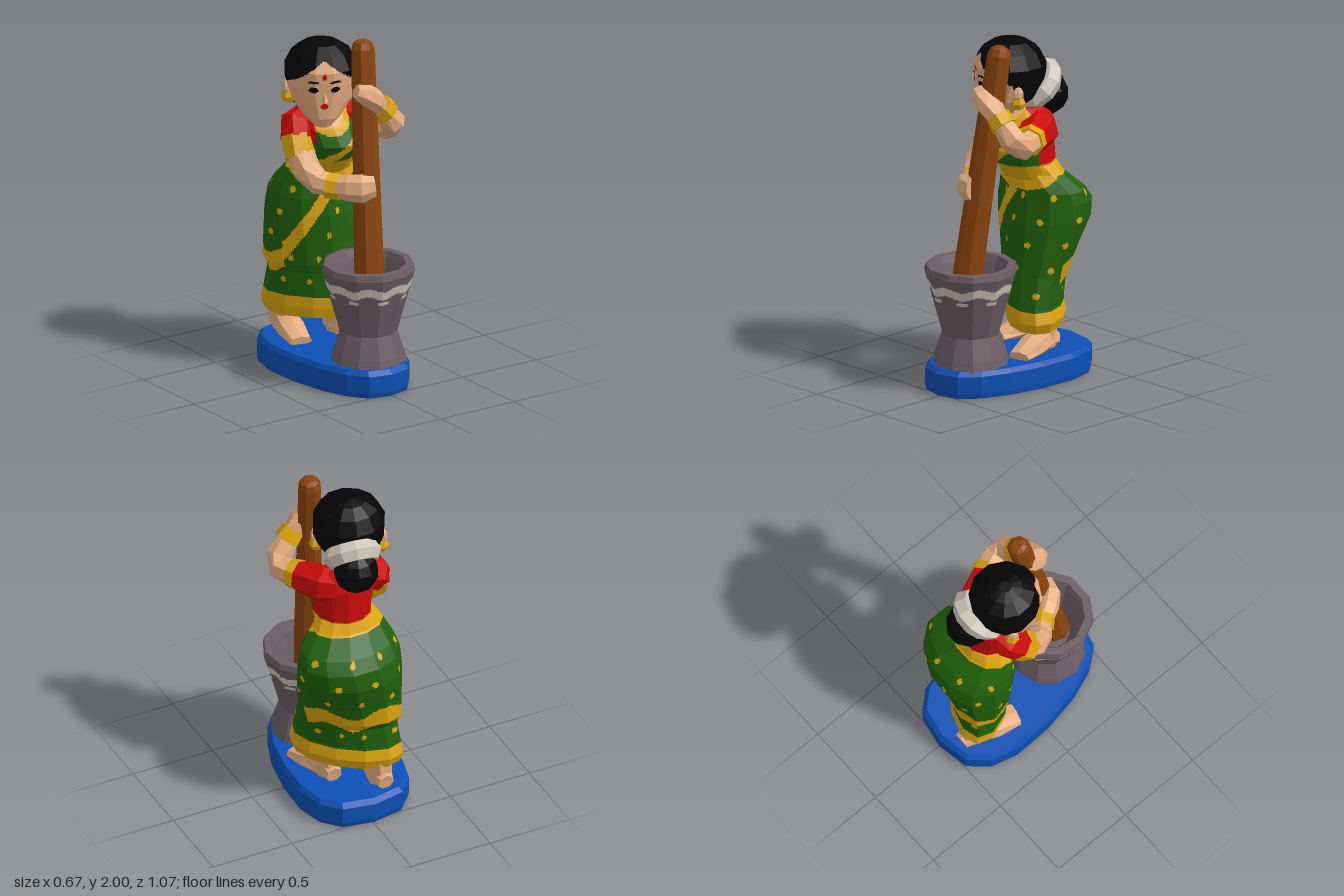
import * as THREE from 'three';

const COLORS = {
  blue: 0x0c50b4, green: 0x20600b, gold: 0xdca50e, red: 0xcc0a0a, skin: 0xe4ac80,
  black: 0x050505, stone: 0x6c5d64, pale: 0xcfc5b8, wood: 0x8a430c,
};
const MATS = {};
for (const [name, color] of Object.entries(COLORS)) {
  MATS[name] = new THREE.MeshStandardMaterial({ color });
  MATS[name].name = name;
}
const V = (x, y, z) => new THREE.Vector3(x, y, z);

function flatMesh(name, geo, mat) {
  const g = geo.index ? geo.toNonIndexed() : geo;
  g.computeVertexNormals();
  const m = new THREE.Mesh(g, MATS[mat]);
  m.name = name;
  return m;
}

// Skins a stack of rings and closes both ends. paint is a colour name, or a rule
// from position to colour name; then faces are divided into cells of the given size.
function skin(name, rings, paint, cell = Infinity) {
  const n = rings[0].length, buckets = {};
  const add = (a, b, c) => {
    const mid = V(0, 0, 0).add(a).add(b).add(c).divideScalar(3);
    const key = typeof paint === 'string' ? paint : paint(mid);
    (buckets[key] ??= []).push(...a, ...b, ...c);
  };
  let edge = 0;
  for (const r of rings) r.forEach((p, i) => { edge = Math.max(edge, p.distanceTo(r[(i + 1) % n])); });
  const cols = Math.max(1, Math.ceil(edge / cell));
  const fine = rings.map(r => r.flatMap((p, i) =>
    Array.from({ length: cols }, (_, k) => p.clone().lerp(r[(i + 1) % n], k / cols))));
  const N = n * cols;
  for (let j = 0; j + 1 < fine.length; j++) {
    const lo = fine[j], hi = fine[j + 1];
    const rows = Math.max(1, Math.ceil(Math.max(...lo.map((p, i) => p.distanceTo(hi[i]))) / cell));
    for (let k = 0; k < rows; k++) {
      const at = (i, s) => lo[i % N].clone().lerp(hi[i % N], s / rows);
      for (let i = 0; i < N; i++) {
        const a = at(i, k), b = at(i + 1, k), c = at(i + 1, k + 1), d = at(i, k + 1);
        add(a, b, c);
        add(a, c, d);
      }
    }
  }
  const cap = (r, flip) => {
    const c = r.reduce((s, p) => s.add(p), V(0, 0, 0)).divideScalar(N);
    r.forEach((p, i) => { const q = r[(i + 1) % N]; flip ? add(c, q, p) : add(c, p, q); });
  };
  cap(fine[0], true);
  cap(fine[fine.length - 1], false);
  const geo = new THREE.BufferGeometry(), pos = [], mats = [];
  for (const [key, list] of Object.entries(buckets)) {
    geo.addGroup(pos.length / 3, list.length / 3, mats.length);
    mats.push(MATS[key]);
    for (const v of list) pos.push(v);
  }
  geo.setAttribute('position', new THREE.Float32BufferAttribute(pos, 3));
  geo.computeVertexNormals();
  const mesh = new THREE.Mesh(geo, mats);
  mesh.name = name;
  return mesh;
}

// Horizontal ellipses from rows of [y, centre x, centre z, radius x, radius z, skew];
// skew stretches the ellipse along the +x +z diagonal
const ellipses = (rows, n) => rows.map(([y, cx, cz, rx, rz, skew = 0]) => Array.from({ length: n }, (_, i) => {
  const a = (i + 0.5) / n * Math.PI * 2;
  return V(cx + rx * Math.sin(a + skew / 2), y, cz + rz * Math.cos(a - skew / 2));
}));

// Limb along points [x, y, z, side radius, other radius]
function limb(name, pts, paint, n = 7) {
  const p = pts.map(q => V(q[0], q[1], q[2])), last = p.length - 1;
  const dir = p[last].clone().sub(p[0]).normalize();
  const ref = Math.abs(dir.y) > 0.75 ? V(0, 0, 1) : V(0, 1, 0);
  const rings = p.map((c, j) => {
    const t = p[Math.min(j + 1, last)].clone().sub(p[Math.max(j - 1, 0)]).normalize();
    const u = t.clone().cross(ref).normalize(), v = u.clone().cross(t);
    const [, , , ru, rv = ru] = pts[j];
    return Array.from({ length: n }, (_, i) => {
      const a = i / n * Math.PI * 2;
      return c.clone().addScaledVector(u, ru * Math.sin(a)).addScaledVector(v, rv * Math.cos(a));
    });
  });
  return skin(name, rings, paint);
}

// Sari skirt: hem, slanting drape border, waistband and scattered dots
function skirtPaint(p) {
  if (p.y < 0.43 || p.y > 1.19 - 0.6 * Math.max(0, p.z + 0.2)) return 'gold';
  const a = Math.atan2(p.x, p.z + 0.24);
  let border = 0.645 + 0.035 * Math.sin(a * 4);
  if (a > -1.45 && a < 0.1) border = 0.7 + (a + 1.45) * 0.29;
  if ((a < 0.1 || a > 1.35) && Math.abs(p.y - border) < 0.058) return 'gold';
  const row = Math.round((p.y - 0.52) / 0.14), step = Math.PI / 4;
  const da = a / step + (row % 2) * 0.5 + row * 0.13;
  const dx = (da - Math.round(da)) * step * 0.27, dy = p.y - 0.52 - row * 0.14;
  return Math.hypot(dx, dy) < 0.019 ? 'gold' : 'green';
}

// Blouse with the sari drawn across the chest
function torsoPaint(p) {
  if (p.y < 1.265) return 'gold';
  const neck = Math.hypot(p.x + 0.05, p.y - 1.57);
  if (p.z > -0.12 && neck < 0.1) return 'skin';
  if (p.z < -0.1 || (p.y > 1.38 && Math.abs(p.x + 0.01) > 0.135)) return 'red';
  if (neck < 0.15 || Math.abs(p.y - 1.33 - 0.7 * p.x) < 0.032) return 'gold';
  return 'green';
}

// Head in its own frame, face toward +z
function headPaint(p) {
  const x = Math.abs(p.x), y = p.y;
  const oval = (cx, cy, rx, ry) => Math.hypot((x - cx) / rx, (y - cy) / ry) < 1;
  if (y > 0.18 - 0.75 * x || p.z < 0.03 + 0.35 * y) return y < -0.13 ? 'skin' : 'black';
  if (p.z < 0.05) return 'skin';
  if (oval(0, 0.09, 0.013, 0.016) || oval(0, -0.09, 0.024, 0.016)) return 'red';
  if (oval(0.062, 0.012, 0.028, 0.016) || oval(0.062, 0.06 - 6 * (x - 0.062) ** 2, 0.034, 0.007)) return 'black';
  return 'skin';
}

// Wavy band and short dashes on the outer wall only
function stonePaint(p) {
  const a = Math.atan2(p.x, p.z - 0.28), wave = 0.012 * Math.sin(a * 8);
  if (Math.hypot(p.x, p.z - 0.28) < 0.205) return 'stone';
  if (Math.abs(p.y - 0.612 - wave) < 0.026) return 'pale';
  return Math.abs(p.y - 0.552) < 0.008 && Math.sin(a * 8) < -0.4 ? 'pale' : 'stone';
}

export function createModel() {
  const model = new THREE.Group();
  model.name = 'womanPoundingGrain';

  // Base: rounded slab, narrower toward the front
  const pow = (v, e) => Math.sign(v) * Math.abs(v) ** e;
  model.add(skin('base', [[0, 0.98], [0.03, 1], [0.13, 1], [0.157, 0.95]].map(([y, s]) =>
    Array.from({ length: 16 }, (_, i) => {
      const a = i / 16 * Math.PI * 2, z = 0.535 * pow(Math.cos(a), 0.88);
      return V(-0.01 + s * (0.32 - 0.11 * z) * pow(Math.sin(a), 0.72), y, s * z);
    })), 'blue'));

  // Mortar: outer wall, rim, inner wall and floor
  const bowl = [[0.14, 0.222], [0.2, 0.208], [0.33, 0.165], [0.52, 0.217], [0.695, 0.266],
    [0.73, 0.258], [0.73, 0.215], [0.69, 0.198], [0.46, 0.13]];
  const bowlRings = bowl.map(([y, r]) => [y, 0.003, 0.28, r, r]);
  model.add(skin('mortar', ellipses(bowlRings, 11), stonePaint, 0.011));

  // Pestle
  model.add(limb('pestle', [[-0.017, 0.46, 0.325, 0.085], [0, 0.73, 0.29, 0.085], [0.073, 1.95, 0.127, 0.067],
    [0.075, 1.985, 0.122, 0.054], [0.076, 2, 0.12, 0.03]], 'wood', 8));

  // Skirt, following the stepping legs at the hem, and torso
  model.add(skin('skirt', ellipses([
    [0.3, 0.01, -0.215, 0.255, 0.24, 0.62], [0.36, 0.015, -0.215, 0.275, 0.26, 0.62],
    [0.44, 0.008, -0.21, 0.262, 0.245, 0.6], [0.57, 0.01, -0.215, 0.255, 0.225, 0.5],
    [0.62, 0, -0.235, 0.268, 0.24, 0.42], [0.75, 0.01, -0.25, 0.285, 0.235, 0.28],
    [0.92, 0.025, -0.275, 0.303, 0.245, 0.08], [1.03, 0.028, -0.275, 0.303, 0.228], [1.1, 0.028, -0.255, 0.285, 0.196],
    [1.2, 0, -0.2, 0.208, 0.145], [1.26, 0, -0.165, 0.168, 0.155]], 12), skirtPaint, 0.014));
  model.add(skin('torso', ellipses([
    [1.17, 0, -0.18, 0.17, 0.14], [1.27, 0.005, -0.14, 0.168, 0.178], [1.36, 0, -0.115, 0.175, 0.202],
    [1.46, -0.005, -0.14, 0.19, 0.172], [1.53, -0.015, -0.16, 0.165, 0.135],
    [1.575, -0.02, -0.165, 0.1, 0.1]], 12), torsoPaint, 0.016));
  model.add(limb('neck', [[-0.05, 1.48, -0.12, 0.085], [-0.07, 1.62, -0.1, 0.09]], 'skin', 8));

  // Head, turned toward the model's right
  const head = new THREE.Group();
  head.name = 'head';
  head.position.set(-0.065, 1.72, -0.09);
  head.rotation.y = -0.5;
  head.add(skin('faceAndHair', ellipses([
    [-0.225, 0, 0.11, 0.045, 0.045], [-0.17, 0, 0.08, 0.105, 0.1], [-0.08, 0, 0.02, 0.175, 0.17],
    [0.02, 0, 0, 0.206, 0.202], [0.11, 0, 0, 0.209, 0.208], [0.19, 0, 0, 0.168, 0.168],
    [0.237, 0, 0, 0.1, 0.1], [0.255, 0, 0, 0.035, 0.035]], 12), headPaint, 0.0095));
  const nose = flatMesh('nose', new THREE.ConeGeometry(0.024, 0.075, 4), 'skin');
  nose.position.set(0, -0.025, 0.19);
  head.add(nose);
  for (const s of [-1, 1]) {
    const ear = flatMesh('ear', new THREE.SphereGeometry(0.042, 6, 5), 'skin');
    ear.scale.set(0.5, 1.1, 0.8);
    ear.position.set(s * 0.197, -0.025, 0.005);
    const ring = flatMesh('earring', new THREE.SphereGeometry(0.043, 6, 4), 'gold');
    ring.position.set(s * 0.185, -0.08, 0.0);
    head.add(ear, ring);
  }
  model.add(head);

  // Hair bun with its garland
  const bun = flatMesh('hairBun', new THREE.SphereGeometry(0.13, 10, 7), 'black');
  bun.position.set(0, 1.618, -0.31);
  const garland = flatMesh('garland', new THREE.TorusGeometry(0.108, 0.065, 6, 11), 'pale');
  garland.position.set(-0.012, 1.683, -0.242);
  garland.quaternion.setFromUnitVectors(V(0, 0, 1), V(0.1, -0.7, -0.7).normalize());
  model.add(bun, garland);

  // Right arm, low on the pestle
  model.add(
    limb('rightSleeve', [[-0.1, 1.5, -0.18, 0.075], [-0.175, 1.465, -0.16, 0.105], [-0.215, 1.39, -0.12, 0.094]], 'red'),
    limb('rightCuff', [[-0.205, 1.41, -0.13, 0.097], [-0.225, 1.3, -0.07, 0.092]], 'gold'),
    limb('rightForearm', [[-0.22, 1.36, -0.1, 0.08], [-0.22, 1.24, -0.01, 0.083], [-0.185, 1.185, 0.06, 0.076],
      [-0.11, 1.165, 0.15, 0.06]], 'skin'),
    limb('rightBracelet', [[-0.155, 1.17, 0.095, 0.078], [-0.095, 1.162, 0.16, 0.074]], 'gold'),
    limb('rightHand', [[-0.13, 1.165, 0.13, 0.06], [-0.08, 1.17, 0.21, 0.07, 0.08],
      [-0.03, 1.172, 0.27, 0.065, 0.085], [0.035, 1.18, 0.3, 0.038, 0.065]], 'skin'));

  // Left arm, high on the pestle
  model.add(
    limb('leftSleeve', [[0.05, 1.465, -0.21, 0.095], [0.11, 1.455, -0.15, 0.115], [0.21, 1.45, 0.01, 0.088]], 'red'),
    limb('leftCuff', [[0.205, 1.452, 0, 0.092], [0.232, 1.45, 0.045, 0.085]], 'gold'),
    limb('leftForearm', [[0.21, 1.45, 0, 0.075], [0.258, 1.445, 0.12, 0.078], [0.24, 1.49, 0.18, 0.076],
      [0.13, 1.62, 0.2, 0.056]], 'skin'),
    limb('leftBracelet', [[0.185, 1.565, 0.195, 0.077], [0.135, 1.62, 0.2, 0.071]], 'gold'),
    limb('leftHand', [[0.15, 1.6, 0.2, 0.056], [0.09, 1.66, 0.208, 0.08, 0.066],
      [0.03, 1.71, 0.205, 0.088, 0.066], [-0.02, 1.73, 0.19, 0.052, 0.04]], 'skin'));

  // Legs and feet turned outward, the left one a step ahead
  for (const [side, s, heel] of [['left', 1, -0.25], ['right', -1, -0.445]]) {
    const x = s * 0.115;
    model.add(
      limb(side + 'Ankle', [[x, 0.17, heel + 0.07, 0.07, 0.085], [x, 0.36, heel + 0.085, 0.08, 0.1]], 'skin'),
      limb(side + 'Foot', [[x, 0.2, heel - 0.015, 0.05], [x, 0.215, heel + 0.07, 0.075, 0.08],
        [x + s * 0.04, 0.2, heel + 0.2, 0.085, 0.065], [x + s * 0.07, 0.175, heel + 0.33, 0.07, 0.03]], 'skin'));
  }
  return model;
}
